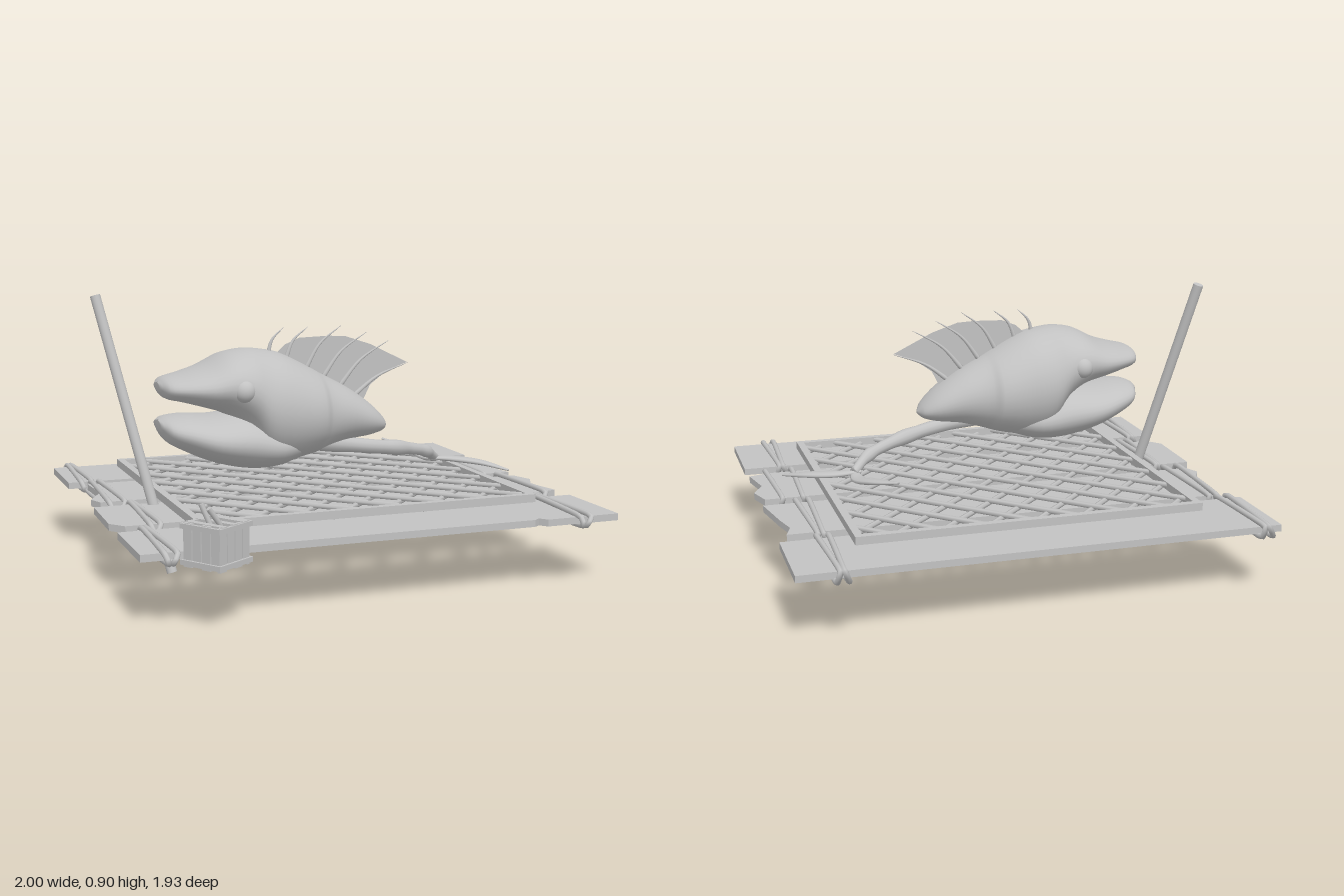
import * as THREE from 'three';

const V = (x, y, z) => new THREE.Vector3(x, y, z);

export function createModel() {
  const root = new THREE.Group();
  root.name = 'raftWithFish';
  const grey = new THREE.MeshStandardMaterial({ color: 0xc2c2c2 });
  grey.name = 'plain grey';
  const greyThin = grey.clone();
  greyThin.side = THREE.DoubleSide;

  // everything lying along the raft shares its turned frame: x along planks, z across
  const raft = new THREE.Group();
  raft.name = 'raft';
  raft.rotation.y = 0.49;
  root.add(raft);

  const add = (parent, name, geo, mat = grey) => {
    const m = new THREE.Mesh(geo, mat);
    m.name = name;
    parent.add(m);
    return m;
  };
  const box = (parent, name, w, h, d, x, y, z) => {
    const m = add(parent, name, new THREE.BoxGeometry(w, h, d));
    m.position.set(x, y, z);
    return m;
  };
  const rod = (parent, name, p, q, r, sides = 8) => {
    const d = q.clone().sub(p);
    const m = add(parent, name, new THREE.CylinderGeometry(r, r, d.length(), sides));
    m.position.copy(p).add(q).multiplyScalar(0.5);
    m.quaternion.setFromUnitVectors(V(0, 1, 0), d.normalize());
    return m;
  };

  // closed skin through equal-sized rings of points
  const loft = (rings) => {
    const n = rings[0].length, pos = [], idx = [];
    rings.forEach((r) => r.forEach((p) => pos.push(p.x, p.y, p.z)));
    for (let i = 0; i < rings.length - 1; i++) {
      for (let j = 0; j < n; j++) {
        const a = i * n + j, b = i * n + (j + 1) % n, c = a + n, d = b + n;
        idx.push(a, b, c, b, d, c);
      }
    }
    const last = (rings.length - 1) * n;
    for (let j = 1; j < n - 1; j++) {
      idx.push(0, j + 1, j, last, last + j, last + j + 1);
    }
    const g = new THREE.BufferGeometry();
    g.setAttribute('position', new THREE.Float32BufferAttribute(pos, 3));
    g.setIndex(idx);
    g.computeVertexNormals();
    return g;
  };
  // tapering limb along a path; size(t) gives [height, width] radii
  const limb = (points, size, steps = 20, sides = 12) => {
    const curve = new THREE.CatmullRomCurve3(points);
    const rings = [];
    for (let i = 0; i <= steps; i++) {
      const c = curve.getPoint(i / steps), t = curve.getTangent(i / steps);
      const side = t.clone().cross(V(0, 1, 0)).normalize();
      const up = side.clone().cross(t);
      const [h, w] = size(i / steps);
      const ring = [];
      for (let j = 0; j < sides; j++) {
        const k = (j / sides) * Math.PI * 2;
        ring.push(c.clone().addScaledVector(up, h * Math.cos(k)).addScaledVector(side, w * Math.sin(k)));
      }
      rings.push(ring);
    }
    return loft(rings);
  };
  // body from stations [x, top, bottom, half width], smoothed along its length
  const body = (stations, zMid) => {
    const mid = new THREE.CatmullRomCurve3(stations.map(([x, t, b]) => V(x, t, b)));
    const wide = new THREE.CatmullRomCurve3(stations.map(([x, , , w]) => V(x, w, 0)));
    const rings = [], steps = (stations.length - 1) * 4;
    for (let i = 0; i <= steps; i++) {
      const m = mid.getPoint(i / steps), w = Math.max(0.004, wide.getPoint(i / steps).y);
      const ring = [];
      for (let j = 0; j < 32; j++) {
        const k = (j / 32) * Math.PI * 2;
        ring.push(V(m.x, (m.y + m.z) / 2 + (m.y - m.z) / 2 * Math.cos(k), zMid + w * Math.sin(k)));
      }
      rings.push(ring);
    }
    return loft(rings);
  };

  // planks: outlines in raft x and z, two of them with broken ends
  const planks = [
    { z0: -0.69, z1: -0.40, ropes: [-0.72, -0.695, 0.62, 0.645],
      pts: [[-0.767, -0.69], [0.767, -0.69], [0.767, -0.4], [-0.767, -0.4]] },
    { z0: -0.36, z1: -0.04, ropes: [-0.7, -0.66, 0.62, 0.65],
      pts: [[-0.71, -0.36], [0.735, -0.34], [0.715, -0.28], [0.735, -0.2], [0.765, -0.04], [-0.73, -0.05], [-0.75, -0.1], [-0.7, -0.2]] },
    { z0: 0.015, z1: 0.31, ropes: [-0.65, -0.63, 0.62, 0.7],
      pts: [[-0.765, 0.015], [0.75, 0.02], [0.775, 0.1], [0.74, 0.17], [0.765, 0.29], [0.7, 0.31], [-0.73, 0.31], [-0.77, 0.26]] },
    { z0: 0.38, z1: 0.675, ropes: [-0.7, -0.675, 0.63, 0.655],
      pts: [[-0.77, 0.38], [0.77, 0.38], [0.77, 0.68], [0.52, 0.68], [0.5, 0.655], [0.48, 0.67], [-0.77, 0.665]] },
  ];
  planks.forEach(({ z0, z1, ropes, pts }) => {
    const shape = new THREE.Shape(pts.map(([x, z]) => new THREE.Vector2(x, -z)));
    const plank = add(raft, 'plank', new THREE.ExtrudeGeometry(shape, { depth: 0.022, bevelEnabled: false }));
    plank.rotation.x = -Math.PI / 2;
    plank.position.y = 0.208;
    // rope loops lashed round both ends
    ropes.forEach((x, i) => {
      const s = (i % 2 ? 1 : -1) * 0.006;
      const loop = new THREE.CatmullRomCurve3([
        V(x - s, 0.236, z0), V(x, 0.219, z0 - 0.024), V(x + s, 0.202, z0),
        V(x - s, 0.202, z1), V(x, 0.219, z1 + 0.024), V(x + s, 0.236, z1),
      ], true, 'catmullrom', 0.4);
      add(raft, 'ropeLoop', new THREE.TubeGeometry(loop, 40, 0.009, 8, true));
    });
  });

  // lattice panel
  const A = 0.55, B0 = -0.535, B1 = 0.51;
  [B0, B1].forEach((z) => box(raft, 'latticeFrame', 2 * A + 0.024, 0.026, 0.024, 0, 0.263, z));
  [-A, A].forEach((x) => box(raft, 'latticeFrame', 0.024, 0.026, B1 - B0, x, 0.263, (B0 + B1) / 2));
  for (let c = -0.97; c < 1; c += 0.15) {
    [1, -1].forEach((s) => {
      const x0 = Math.max(-A, s > 0 ? B0 - c : c - B1);
      const x1 = Math.min(A, s > 0 ? B1 - c : c - B0);
      const y = 0.26 + s * 0.005;
      if (x1 - x0 > 0.03) rod(raft, 'latticeRod', V(x0, y, s * x0 + c), V(x1, y, s * x1 + c), 0.009, 6);
    });
  }

  // fish head and body
  const mid = 0.115;
  add(raft, 'fishBody', body([
    [-0.575, 0.64, 0.615, 0.04], [-0.555, 0.655, 0.59, 0.1], [-0.5, 0.668, 0.575, 0.14],
    [-0.43, 0.69, 0.555, 0.168], [-0.36, 0.725, 0.53, 0.18], [-0.3, 0.737, 0.48, 0.185],
    [-0.24, 0.735, 0.38, 0.188], [-0.17, 0.72, 0.365, 0.185], [-0.06, 0.665, 0.385, 0.165],
    [-0.03, 0.648, 0.395, 0.143], [0.06, 0.6, 0.42, 0.115], [0.145, 0.54, 0.432, 0.085],
    [0.19, 0.495, 0.445, 0.05], [0.207, 0.47, 0.46, 0.008],
  ], mid));
  add(raft, 'fishJaw', body([
    [-0.575, 0.52, 0.49, 0.05], [-0.55, 0.53, 0.45, 0.11], [-0.49, 0.535, 0.415, 0.15],
    [-0.41, 0.53, 0.38, 0.172], [-0.3, 0.535, 0.352, 0.178], [-0.2, 0.5, 0.352, 0.16],
    [-0.1, 0.47, 0.38, 0.1],
  ], mid));
  [1, -1].forEach((s) => {
    const eye = add(raft, 'fishEye', new THREE.SphereGeometry(0.037, 24, 16));
    eye.position.set(-0.335, 0.62, mid + s * 0.158);
  });

  // dorsal fin membrane with curved spines
  const fin = new THREE.Shape([
    [-0.2, 0.7], [-0.15, 0.745], [-0.1, 0.765], [0, 0.768], [0.06, 0.765], [0.15, 0.735],
    [0.283, 0.67], [0.21, 0.645], [0.15, 0.6], [0.12, 0.54], [-0.05, 0.62],
  ].map(([x, y]) => new THREE.Vector2(x, y)));
  add(raft, 'dorsalFin', new THREE.ShapeGeometry(fin), greyThin).position.z = 0.125;
  [
    [-0.21, 0.7, -0.155, 0.8], [-0.15, 0.69, -0.07, 0.8], [-0.08, 0.66, 0.045, 0.8],
    [-0.02, 0.63, 0.135, 0.775], [0.04, 0.6, 0.215, 0.745], [0.09, 0.565, 0.285, 0.668],
  ].forEach(([x0, y0, x1, y1]) => {
    const bend = V(x0 * 0.5 + x1 * 0.5 - 0.012, y0 * 0.45 + y1 * 0.55 + 0.006, 0.125);
    add(raft, 'finSpine', limb([V(x0, y0, 0.125), bend, V(x1, y1, 0.125)],
      (t) => [0.008 * (1.1 - t), 0.008 * (1.1 - t)], 10, 8));
  });

  // bare backbone and forked tail
  add(root, 'backbone', limb([V(0.0, 0.43, 0.18), V(0.2, 0.395, 0.06), V(0.31, 0.37, -0.06), V(0.37, 0.345, -0.15), V(0.395, 0.31, -0.23)],
    (t) => { const r = 0.027 - 0.012 * t + 0.004 * Math.max(0, Math.sin(t * 19)); return [r, r]; }, 40));
  const lobe = (t) => { const k = Math.sin(Math.PI * (0.12 + 0.86 * t)); return [0.003 + 0.007 * k, 0.004 + 0.022 * k]; };
  add(root, 'tailLobe', limb([V(0.375, 0.31, -0.215), V(0.46, 0.303, -0.242), V(0.56, 0.293, -0.235), V(0.655, 0.275, -0.2)], lobe));
  add(root, 'tailLobe', limb([V(0.4, 0.305, -0.21), V(0.365, 0.3, -0.275), V(0.29, 0.32, -0.35), V(0.195, 0.34, -0.41)], lobe));

  // leaning pole
  rod(root, 'pole', V(-0.425, 0.01, 0.325), V(-0.69, 0.9, 0.225), 0.017, 16);

  // slatted crate
  const crate = new THREE.Group();
  crate.name = 'crate';
  crate.position.set(-0.165, 0, 0.865);
  crate.rotation.y = -0.49;
  root.add(crate);
  box(crate, 'crateFloor', 0.13, 0.012, 0.13, 0, 0.195, 0);
  for (let k = 0; k < 4; k++) {
    const side = new THREE.Group();
    side.name = 'crateSide';
    side.rotation.y = k * Math.PI / 2;
    crate.add(side);
    for (let i = 0; i < 4; i++) {
      box(side, 'crateSlat', 0.03, 0.128 - (i % 2) * 0.008, 0.01, -0.051 + i * 0.034, 0.25, 0.062);
    }
    [0.2, 0.305].forEach((y) => box(side, 'crateBand', 0.146, 0.015, 0.01, 0, y, 0.069));
  }
  [-0.045, 0, 0.045].forEach((p) => {
    box(crate, 'crateLid', 0.03, 0.008, 0.14, p, 0.303, 0);
    box(crate, 'crateLid', 0.14, 0.008, 0.02, 0, 0.311, p);
  });
  rod(crate, 'crateStick', V(0, 0.28, 0.01), V(-0.03, 0.365, 0.03), 0.008);
  rod(crate, 'crateStick', V(0.03, 0.28, -0.01), V(0.01, 0.36, 0.045), 0.008);
  return root;
}
